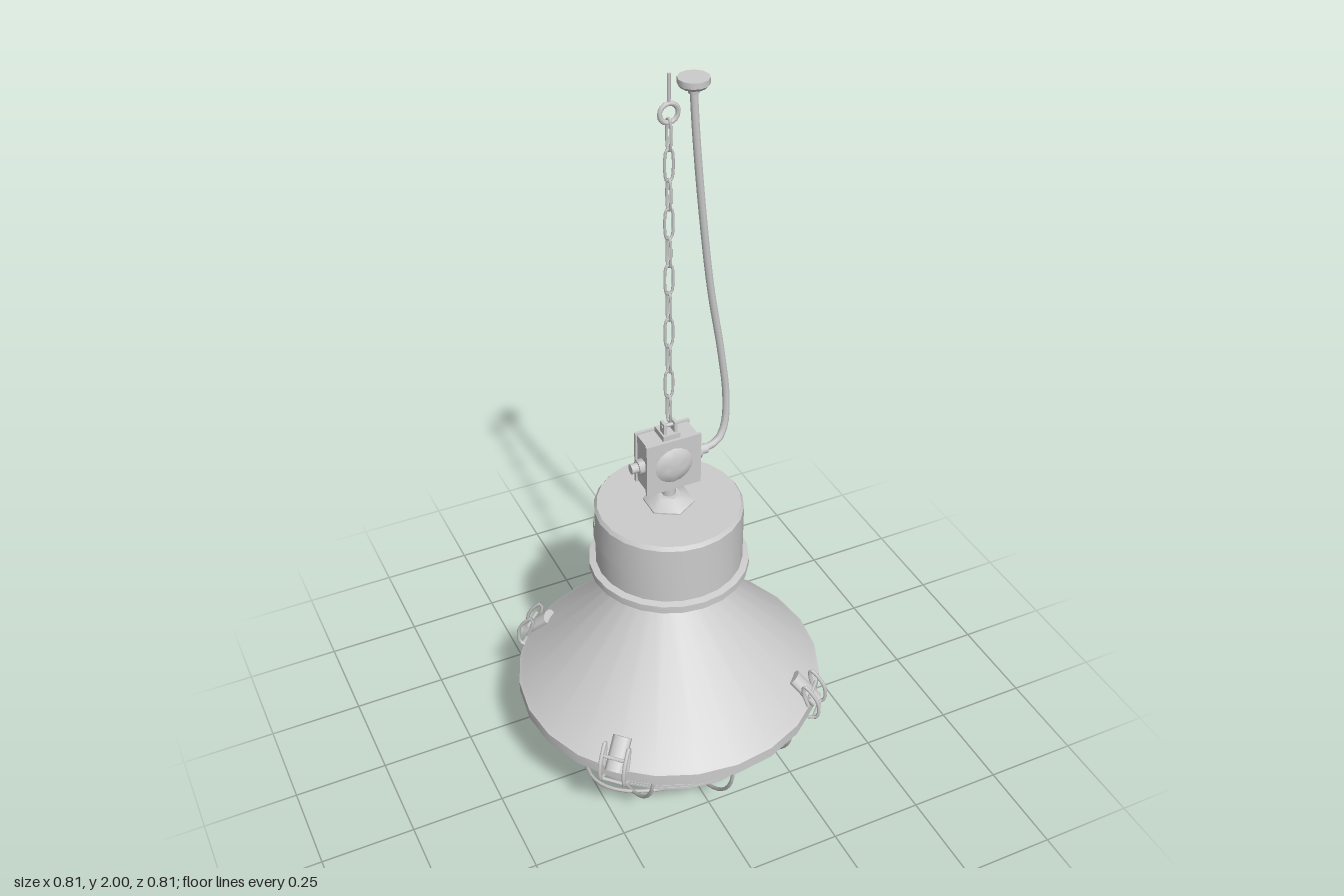
import * as THREE from 'three';
import { toCreasedNormals } from 'three/addons/utils/BufferGeometryUtils.js';

const metal = new THREE.MeshStandardMaterial({ color: 0xcccccc, side: THREE.DoubleSide });
metal.name = 'pale grey metal';
const V = (x, y, z) => new THREE.Vector3(x, y, z);

function add(parent, name, geometry, x = 0, y = 0, z = 0) {
  const mesh = new THREE.Mesh(geometry, metal);
  mesh.name = name;
  mesh.position.set(x, y, z);
  parent.add(mesh);
  return mesh;
}

// Turned part from [radius, height] pairs, listed bottom to top
function turned(profile, sides = 24) {
  const points = profile.map(([r, y]) => new THREE.Vector2(r, y));
  return toCreasedNormals(new THREE.LatheGeometry(points, sides), 0.6);
}

function wire(points, radius, steps = 24, closed = false, sides = 6) {
  const curve = new THREE.CatmullRomCurve3(points, closed, 'centripetal');
  return new THREE.TubeGeometry(curve, steps, radius, sides, closed);
}

function sideCylinder(radius, length, sides = 12) {
  return new THREE.CylinderGeometry(radius, radius, length, sides).rotateZ(Math.PI / 2);
}

function buildLamp(model) {
  // Conical shade with its rim band and neck
  add(model, 'shade', turned([
    [0.365, 0.285], [0.375, 0.27], [0.405, 0.27], [0.405, 0.302], [0.396, 0.308],
    [0.098, 0.618], [0.092, 0.625], [0.092, 0.69],
  ]));
  // Ballast housing with flange and stepped underside
  add(model, 'housing', turned([
    [0.09, 0.7], [0.12, 0.7], [0.12, 0.685], [0.135, 0.685], [0.135, 0.7], [0.16, 0.7],
    [0.16, 0.685], [0.18, 0.685], [0.18, 0.67], [0.205, 0.67], [0.205, 0.69],
    [0.188, 0.694], [0.188, 0.854], [0.181, 0.864], [0, 0.864],
  ]));
  // Curved rating plate on the housing's right side
  const plate = new THREE.CylinderGeometry(0.191, 0.191, 0.055, 6, 1, true, Math.PI * 1.5 - 0.5, 1);
  add(model, 'ratingPlate', plate, 0, 0.795, 0);

  // Ribbed lens with a shallow pointed bowl
  const lens = [[0, 0.022], [0.06, 0.034], [0.15, 0.07], [0.23, 0.107], [0.29, 0.14]];
  for (let i = 0; i < 7; i++) {
    const y = 0.142 + i * 0.0185, r = 0.308 + i * 0.009;
    lens.push([r, y], [r, y + 0.007], [r - 0.014, y + 0.009], [r - 0.014, y + 0.017]);
  }
  lens.push([0.37, 0.275]);
  add(model, 'lens', turned(lens));
}

function buildGuard(model) {
  // Crossed wires lying on an elliptical bowl
  const guard = new THREE.Group();
  guard.name = 'wireGuard';
  const R = 0.385;
  for (const offset of [-0.2, 0, 0.2]) {
    const half = Math.sqrt(R * R - offset * offset);
    const points = [];
    for (let i = 0; i <= 16; i++) {
      const u = -Math.cos((i / 16) * Math.PI) * half;
      const k = Math.max(0, 1 - (u * u + offset * offset) / (R * R));
      points.push(V(offset, 0.27 - 0.264 * Math.sqrt(k), u));
    }
    add(guard, 'guardWire', wire(points, 0.005, 32));
    add(guard, 'guardWire', wire(points.map(p => V(p.z, p.y, p.x)), 0.005, 32));
  }
  add(guard, 'guardRing', new THREE.TorusGeometry(R, 0.006, 6, 24).rotateX(Math.PI / 2), 0, 0.268, 0);
  model.add(guard);
}

function buildClips(model) {
  // Four toggle clips around the rim
  for (let i = 0; i < 4; i++) {
    const clip = new THREE.Group();
    clip.name = 'clip';
    const lever = add(clip, 'clipLever', new THREE.CylinderGeometry(0.025, 0.025, 0.09, 10), 0, 0.333, 0.38);
    lever.scale.z = 0.65;
    lever.rotation.x = -0.8;
    for (const side of [-1, 1]) {
      const x = side * 0.032;
      add(clip, 'clipRail', wire([V(x, 0.266, 0.4), V(x, 0.275, 0.424), V(x, 0.325, 0.424),
        V(x, 0.372, 0.385), V(x, 0.345, 0.385), V(x, 0.305, 0.4)], 0.005, 20));
    }
    add(clip, 'clipBar', sideCylinder(0.005, 0.064, 6), 0, 0.27, 0.416);
    add(clip, 'clipPin', sideCylinder(0.005, 0.064, 6), 0, 0.335, 0.4);
    clip.rotation.y = Math.PI / 4 + i * Math.PI / 2;
    model.add(clip);
  }
}

function buildJunctionBox(model) {
  // Six-sided mount and stem under the box
  add(model, 'mount', turned([[0.065, 0.862], [0.065, 0.868], [0.03, 0.89], [0, 0.89]], 6));
  add(model, 'stem', new THREE.CylinderGeometry(0.018, 0.018, 0.06, 10), 0, 0.905, 0);
  add(model, 'boxBody', new THREE.BoxGeometry(0.136, 0.136, 0.064), 0, 0.995, -0.005);
  add(model, 'boxBackPlate', new THREE.BoxGeometry(0.146, 0.146, 0.008), 0, 0.995, -0.04);
  add(model, 'boxFrontPlate', new THREE.BoxGeometry(0.146, 0.146, 0.008), 0, 0.995, 0.026);
  // Domed cover on the front
  const dome = turned([[0.05, 0], [0.045, 0.004], [0.025, 0.009], [0, 0.011]], 16).rotateX(Math.PI / 2);
  add(model, 'boxDome', dome, 0, 0.995, 0.03);
  // Cable glands on both sides
  for (const side of [-1, 1]) {
    add(model, 'glandNut', sideCylinder(0.02, 0.016, 6), side * 0.077, 0.995, 0);
    add(model, 'gland', sideCylinder(0.013, 0.034), side * 0.086, 0.995, 0);
  }
  // Lug and shackle that take the chain
  add(model, 'lug', new THREE.BoxGeometry(0.045, 0.016, 0.05), 0, 1.07, -0.008);
  for (const side of [-1, 1]) {
    add(model, 'lugEar', new THREE.BoxGeometry(0.008, 0.035, 0.024), side * 0.014, 1.09, 0);
  }
  add(model, 'lugPin', sideCylinder(0.005, 0.04, 8), 0, 1.097, 0);
}

function buildSuspension(model) {
  // Chain of long links, each turned a quarter from the last
  const w = 0.009, h = 0.036;
  const outline = [V(-w, -h + w, 0), V(-w, h - w, 0), V(-w * 0.6, h, 0), V(w * 0.6, h, 0),
    V(w, h - w, 0), V(w, -h + w, 0), V(w * 0.6, -h, 0), V(-w * 0.6, -h, 0)];
  const link = wire(outline, 0.0035, 24, true, 5);
  for (let i = 0; i < 11; i++) {
    add(model, 'chainLink', link, 0, 1.145 + i * 0.0715, 0).rotation.y = i % 2 ? 0 : Math.PI / 2;
  }
  // Ceiling eye and its shank
  add(model, 'ceilingEye', new THREE.TorusGeometry(0.022, 0.006, 6, 16), 0, 1.91, 0);
  add(model, 'eyeShank', new THREE.CylinderGeometry(0.004, 0.004, 0.07, 6), 0, 1.965, 0);
  // Ceiling cap for the cable
  add(model, 'ceilingCap', turned([[0, 1.945], [0.012, 1.945], [0.014, 1.96], [0.03, 1.96],
    [0.036, 1.967], [0.036, 1.981], [0, 1.981]], 12), 0.058, 0, 0);
  // Hanging supply cable
  add(model, 'cable', wire([V(0.058, 1.955, 0), V(0.065, 1.85, 0), V(0.082, 1.68, -0.004),
    V(0.112, 1.45, -0.012), V(0.147, 1.25, -0.017), V(0.163, 1.12, -0.018), V(0.158, 1.04, -0.014),
    V(0.138, 1.003, -0.008), V(0.098, 0.995, 0)], 0.0095, 40, false, 8));
}

export function createModel() {
  const model = new THREE.Group();
  model.name = 'pendantLamp';
  buildLamp(model);
  buildGuard(model);
  buildClips(model);
  buildJunctionBox(model);
  buildSuspension(model);
  return model;
}
